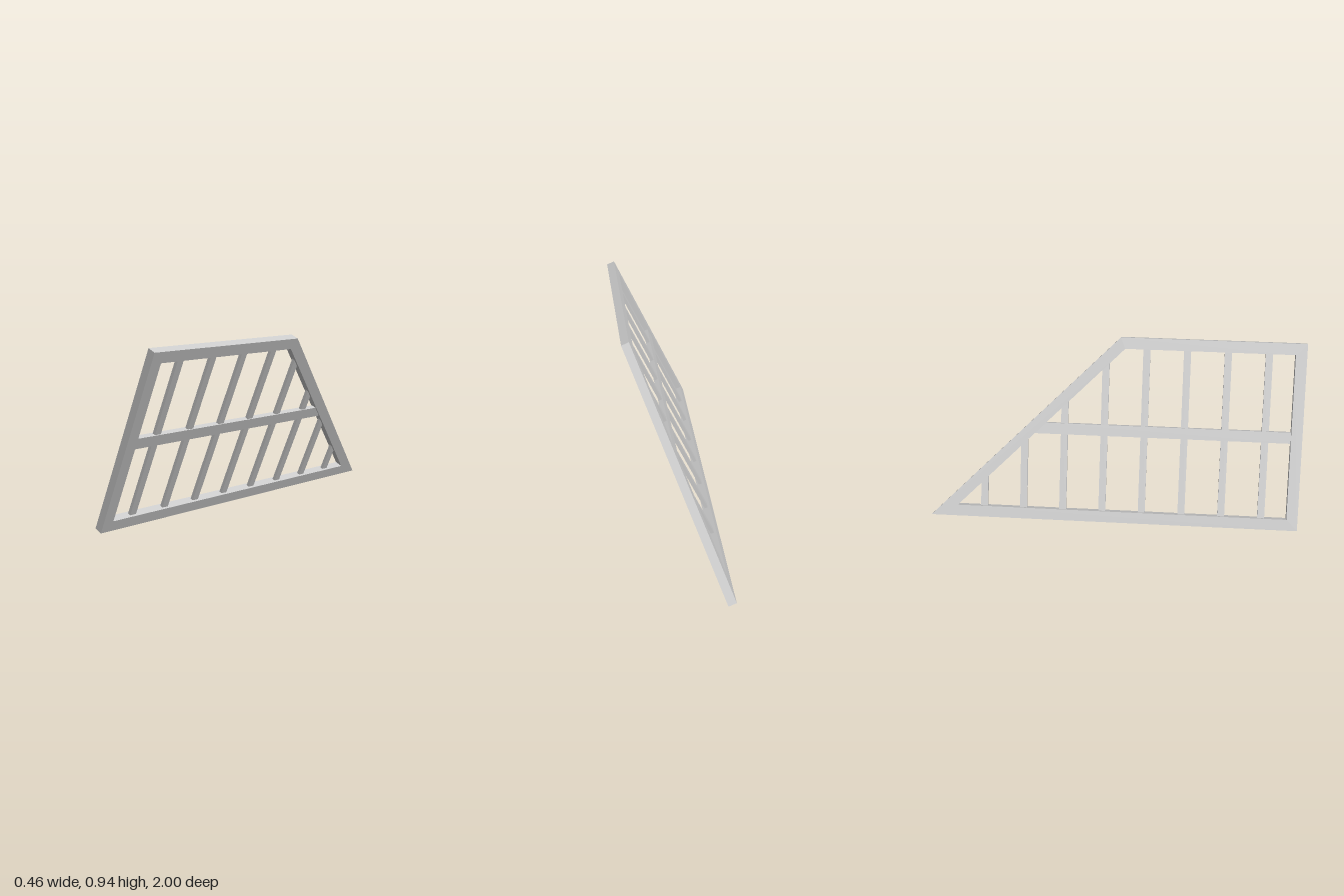
import * as THREE from 'three';

const LENGTH = 1.012;   // height measured along the slope
const DEPTH = 0.045;    // frame thickness
const TOP_S = -0.015;   // where the top rail meets the raking edge
const TILT = Math.atan2(0.42, 0.92);

// Raking edge, moved inward by an inset: position along the panel at slope height v, and its inverse
const K = (1 - TOP_S) / LENGTH;
const rakeS = (v, inset) => 1 - K * v - inset * Math.sqrt(1 + K * K);
const rakeV = (s, inset) => (1 - inset * Math.sqrt(1 + K * K) - s) / K;

// Panel outline, inset evenly on all four sides
const outline = (inset) => [
  [-1 + inset, inset],
  [rakeS(inset, inset), inset],
  [rakeS(LENGTH - inset, inset), LENGTH - inset],
  [-1 + inset, LENGTH - inset],
].map(([s, v]) => new THREE.Vector2(s, v));

export function createModel() {
  const model = new THREE.Group();
  const panel = new THREE.Group();
  panel.name = 'slopedPanel';
  model.add(panel);
  const material = new THREE.MeshStandardMaterial({ color: 0xcccccc });

  // Flat board, centred in the frame thickness
  function board(name, points, depth, hole) {
    const shape = new THREE.Shape(points);
    if (hole) shape.holes.push(new THREE.Path(hole));
    const geometry = new THREE.ExtrudeGeometry(shape, { depth, bevelEnabled: false });
    geometry.translate(0, 0, (DEPTH - depth) / 2);
    const mesh = new THREE.Mesh(geometry, material);
    mesh.name = name;
    panel.add(mesh);
  }

  // Outer frame with one raking side
  board('frame', outline(0), DEPTH, outline(0.06).reverse());

  // Middle rail, its end cut along the rake
  const tenon = 0.03;
  const low = LENGTH / 2 - 0.03, high = LENGTH / 2 + 0.03;
  board('middleRail', [
    new THREE.Vector2(-1 + tenon, low),
    new THREE.Vector2(rakeS(low, tenon), low),
    new THREE.Vector2(rakeS(high, tenon), high),
    new THREE.Vector2(-1 + tenon, high),
  ], 0.028);

  // Upright bars, the rear ones cut along the rake
  for (let i = 0; i < 8; i++) {
    const a = -0.822 + i * 0.216, b = a + 0.038;
    const top = (s) => Math.min(LENGTH - 0.035, rakeV(s, tenon));
    board('bar' + (i + 1), [
      new THREE.Vector2(a, 0.035),
      new THREE.Vector2(b, 0.035),
      new THREE.Vector2(b, top(b)),
      new THREE.Vector2(a, top(a)),
    ], 0.018);
  }

  // Lean the panel: along = -z, up the slope, then through the thickness
  const c = Math.cos(TILT), s = Math.sin(TILT);
  const matrix = new THREE.Matrix4().makeBasis(
    new THREE.Vector3(0, 0, -1),
    new THREE.Vector3(s, c, 0),
    new THREE.Vector3(c, -s, 0),
  );
  matrix.setPosition(-(LENGTH * s + DEPTH * c) / 2, DEPTH * s, 0);
  panel.applyMatrix4(matrix);
  return model;
}
